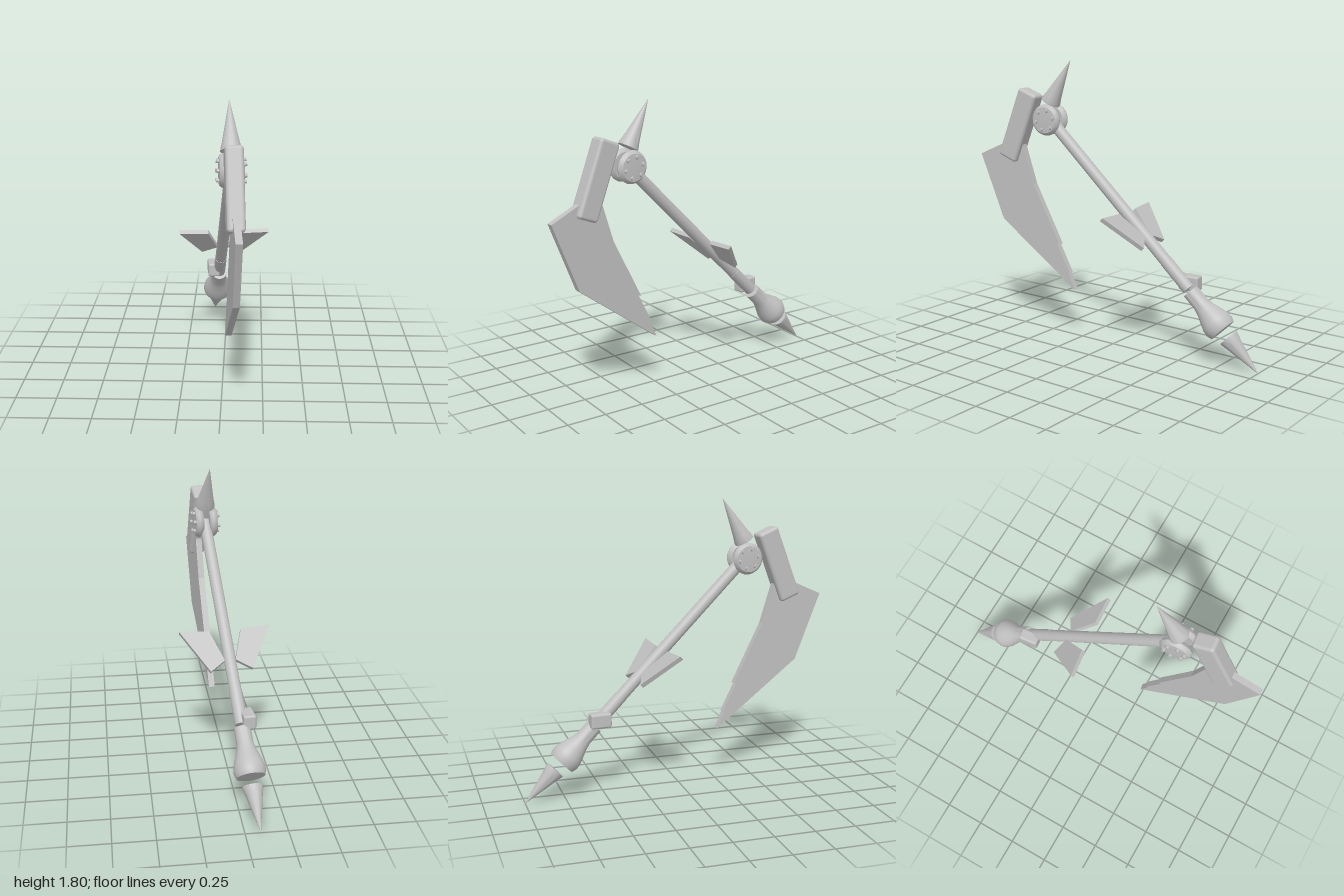
import * as THREE from 'three';
import { toCreasedNormals } from 'three/addons/utils/BufferGeometryUtils.js';
import { RoundedBoxGeometry } from 'three/addons/geometries/RoundedBoxGeometry.js';

const grey = new THREE.MeshStandardMaterial({ color: 0xc0c0c0 });
grey.name = 'plain grey';

function part(name, geometry, parent, x = 0, y = 0, z = 0) {
  const mesh = new THREE.Mesh(geometry, grey);
  mesh.name = name;
  mesh.position.set(x, y, z);
  parent.add(mesh);
  return mesh;
}

// Turned part from [radius, height] pairs, listed bottom to top
function turned(profile, sides = 32) {
  const points = profile.map(([r, y]) => new THREE.Vector2(r, y));
  return toCreasedNormals(new THREE.LatheGeometry(points, sides), 0.6);
}

// Flat plate centred on its own plane
function plate(outline, thickness) {
  const shape = new THREE.Shape(outline.map(([x, y]) => new THREE.Vector2(x, y)));
  const geometry = new THREE.ExtrudeGeometry(shape, { depth: thickness, bevelEnabled: false });
  return geometry.translate(0, 0, -thickness / 2);
}

function spike(length) {
  return turned([[0, 0], [0.062, 0], [0.061, 0.012], [0.051, 0.05], [0, length]]);
}

export function createModel() {
  const model = new THREE.Group();
  model.name = 'scythe';
  const body = new THREE.Group();
  body.name = 'scytheBody';
  body.position.x = 0.01;
  body.rotation.y = 0.1;
  body.scale.z = 1.005;
  model.add(body);

  const hubY = 1.42, hubZ = 0.458;

  // Staff: its y axis runs along the shaft, with the hub at the origin
  const staff = new THREE.Group();
  staff.name = 'staff';
  staff.position.set(0, hubY, hubZ);
  staff.rotation.x = 0.8;
  body.add(staff);
  part('shaft', new THREE.CylinderGeometry(0.037, 0.037, 1.17, 28), staff, 0, -0.585);
  part('grip', new THREE.CylinderGeometry(0.039, 0.039, 0.22, 28), staff, 0, -1.28);

  // Flared pommel with a detached end spike
  part('pommel', turned([
    [0, -1.71], [0.085, -1.71], [0.096, -1.68], [0.093, -1.645], [0.078, -1.6],
    [0.06, -1.55], [0.051, -1.51], [0.051, -1.41], [0, -1.41],
  ]), staff);
  part('endSpike', spike(0.275), staff, 0, -1.765).rotation.x = Math.PI;

  // Pair of side fins in the plane of the shaft
  const fin = plate([[0.033, -0.98], [0.13, -1.045], [0.284, -0.77], [0.1, -0.78]], 0.027);
  part('leftFin', fin, staff);
  part('rightFin', fin, staff).rotation.y = Math.PI;

  // Small block on the side of the grip
  part('gripBlock', new RoundedBoxGeometry(0.078, 0.092, 0.13, 3, 0.014), body, -0.04, 0.483, -0.53);

  // Bolted hub discs on both sides
  const disc = turned([
    [0, 0.02], [0.08, 0.02], [0.094, 0.03], [0.1, 0.045], [0.094, 0.06], [0.082, 0.07], [0, 0.076],
  ]);
  const bolt = new THREE.CylinderGeometry(0.012, 0.013, 0.02, 12);
  for (const side of [1, -1]) {
    const hub = new THREE.Group();
    hub.name = side > 0 ? 'leftHub' : 'rightHub';
    hub.position.set(0, hubY, hubZ);
    hub.rotation.z = -side * Math.PI / 2;
    body.add(hub);
    part('hubDisc', disc, hub);
    for (let i = 0; i < 6; i++) {
      const a = (i / 6) * Math.PI * 2 + 0.3;
      part('bolt', bolt, hub, Math.cos(a) * 0.063, 0.076, Math.sin(a) * 0.063);
    }
  }

  // Spike above the hub
  part('topSpike', spike(0.31), body, 0, 1.53, 0.452).rotation.x = -0.513;

  // Blade holder
  part('bladeHolder', new RoundedBoxGeometry(0.104, 0.475, 0.14, 3, 0.02), body, 0, 1.37, 0.687)
    .rotation.x = -0.371;

  // Blade with a notched inner edge, drawn as [z, y]
  const blade = plate([
    [1, 1.16], [0.827, 0.735], [0.27, 0.325], [0.318, 0.43], [0.308, 0.43], [0.405, 0.62],
    [0.385, 0.612], [0.58, 0.99], [0.655, 1.225], [0.67, 1.28], [0.8, 1.25],
  ], 0.04);
  part('blade', blade, body).rotation.y = -Math.PI / 2;

  return model;
}
